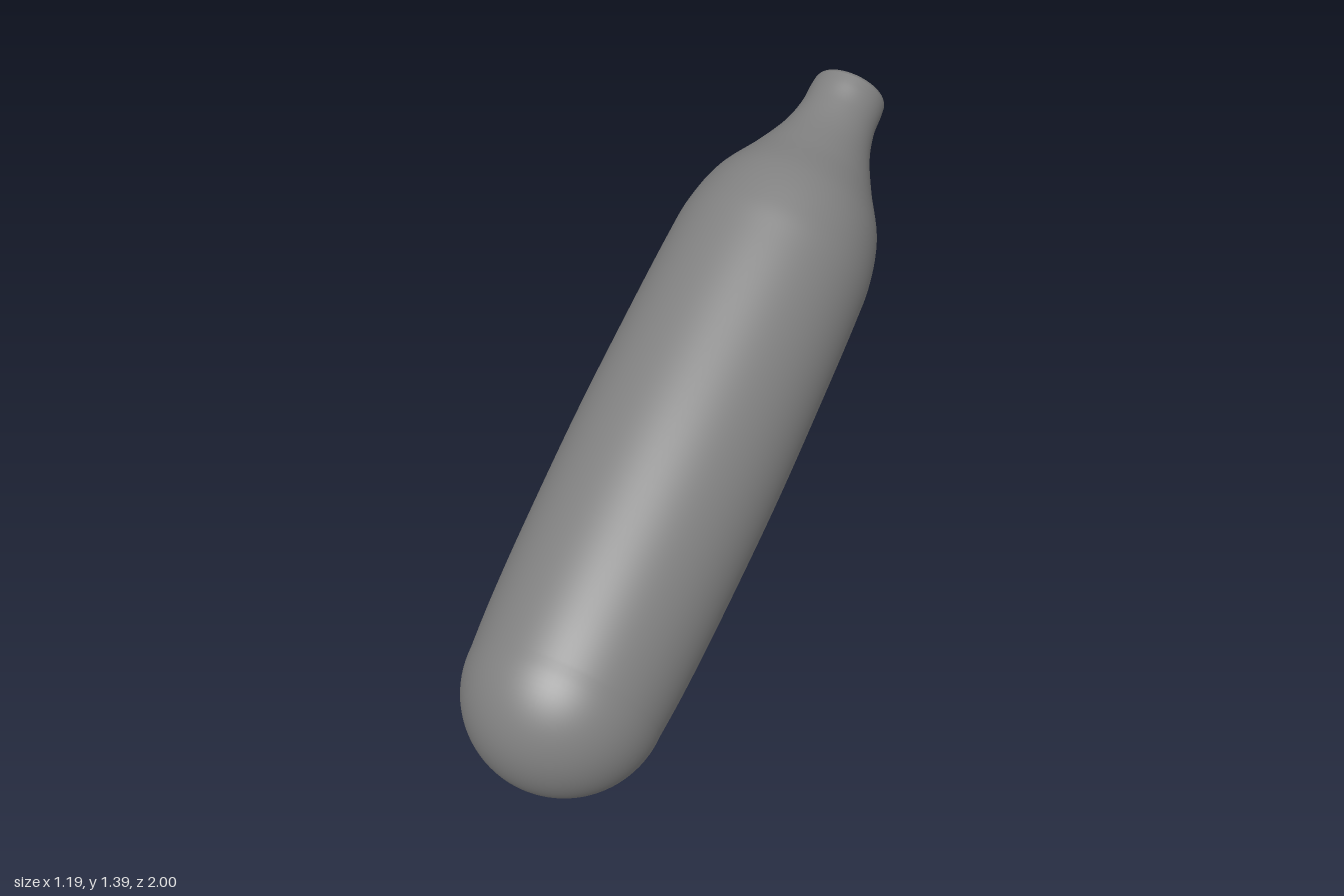
import * as THREE from 'three';
import { mergeVertices } from 'three/addons/utils/BufferGeometryUtils.js';

const BASE = 0.29;
const toPoints = (pairs) => pairs.map(([r, t]) => new THREE.Vector2(r, t));

// Shallow hollow along one side of the body: each cross-section is softly flattened
function pressSide(geometry) {
  const p = geometry.attributes.position;
  for (let i = 0; i < p.count; i++) {
    const x = p.getX(i), t = p.getY(i), z = p.getZ(i);
    if (x <= 0) continue;
    const h = 0.42 - 0.23 * Math.exp(-(((t - 0.95) / 1.15) ** 2));
    const k = Math.pow(1 + Math.pow(x / h, 7), -1 / 7);
    p.setX(i, x * k);
    p.setZ(i, z * k);
  }
}

// Lathe without a seam
function seamlessLathe(points, segments) {
  const g = new THREE.LatheGeometry(points, segments);
  g.deleteAttribute('uv');
  g.deleteAttribute('normal');
  return mergeVertices(g, 1e-5);
}

export function createModel() {
  const grey = new THREE.MeshStandardMaterial({ color: 0x808080 });
  grey.name = 'steelGrey';

  // Profile: round base, slightly swelling wall, then shoulder and neck
  const profile = [];
  for (let i = 0; i < 24; i++) {
    const a = (i / 24) * Math.PI / 2;
    profile.push(new THREE.Vector2(BASE * Math.sin(a), -BASE * Math.cos(a)));
  }
  const wall = new THREE.SplineCurve(toPoints([
    [BASE, 0], [0.301, 0.15], [0.31, 0.38], [0.317, 0.75], [0.314, 1.1], [0.308, 1.38],
    [0.299, 1.51], [0.266, 1.64], [0.196, 1.77], [0.145, 1.88],
    [0.122, 1.97], [0.118, 2.04], [0.115, 2.07],
  ]));
  profile.push(...wall.getPoints(96));

  const bodyGeometry = seamlessLathe(profile, 96);
  pressSide(bodyGeometry);
  bodyGeometry.computeVertexNormals();
  const body = new THREE.Mesh(bodyGeometry, grey);
  body.name = 'cartridgeBody';

  // Neck end: rounded rim, thin groove and sealing disc with a centre dimple
  const capGeometry = seamlessLathe(toPoints([
    [0.115, 2.07], [0.111, 2.079], [0.104, 2.081], [0.099, 2.074], [0.096, 2.045],
    [0.089, 2.045], [0.086, 2.062], [0.081, 2.065], [0.05, 2.065], [0.018, 2.064],
    [0.01, 2.058], [0, 2.045],
  ]), 64);
  // match the slight press of the body so the rim stays joined
  pressSide(capGeometry);
  capGeometry.computeVertexNormals();
  const cap = new THREE.Mesh(capGeometry, grey);
  cap.name = 'neckSeal';

  // Lean the cartridge along its axis, hollow side facing down and a little back
  const axis = new THREE.Vector3(-0.384, 0.482, -0.788).normalize();
  const side = new THREE.Vector3(-0.782, -0.623, 0);
  side.addScaledVector(axis, -side.dot(axis)).normalize();
  const back = new THREE.Vector3().crossVectors(side, axis);
  if (back.z > 0) back.negate();
  side.addScaledVector(back, Math.tan(0.19)).normalize();
  const third = new THREE.Vector3().crossVectors(side, axis);
  const cartridge = new THREE.Group();
  cartridge.name = 'cartridge';
  cartridge.add(body, cap);
  cartridge.quaternion.setFromRotationMatrix(new THREE.Matrix4().makeBasis(side, axis, third));
  cartridge.position.set(0.305, 0.291, 0.707);

  const model = new THREE.Group();
  model.add(cartridge);
  return model;
}
